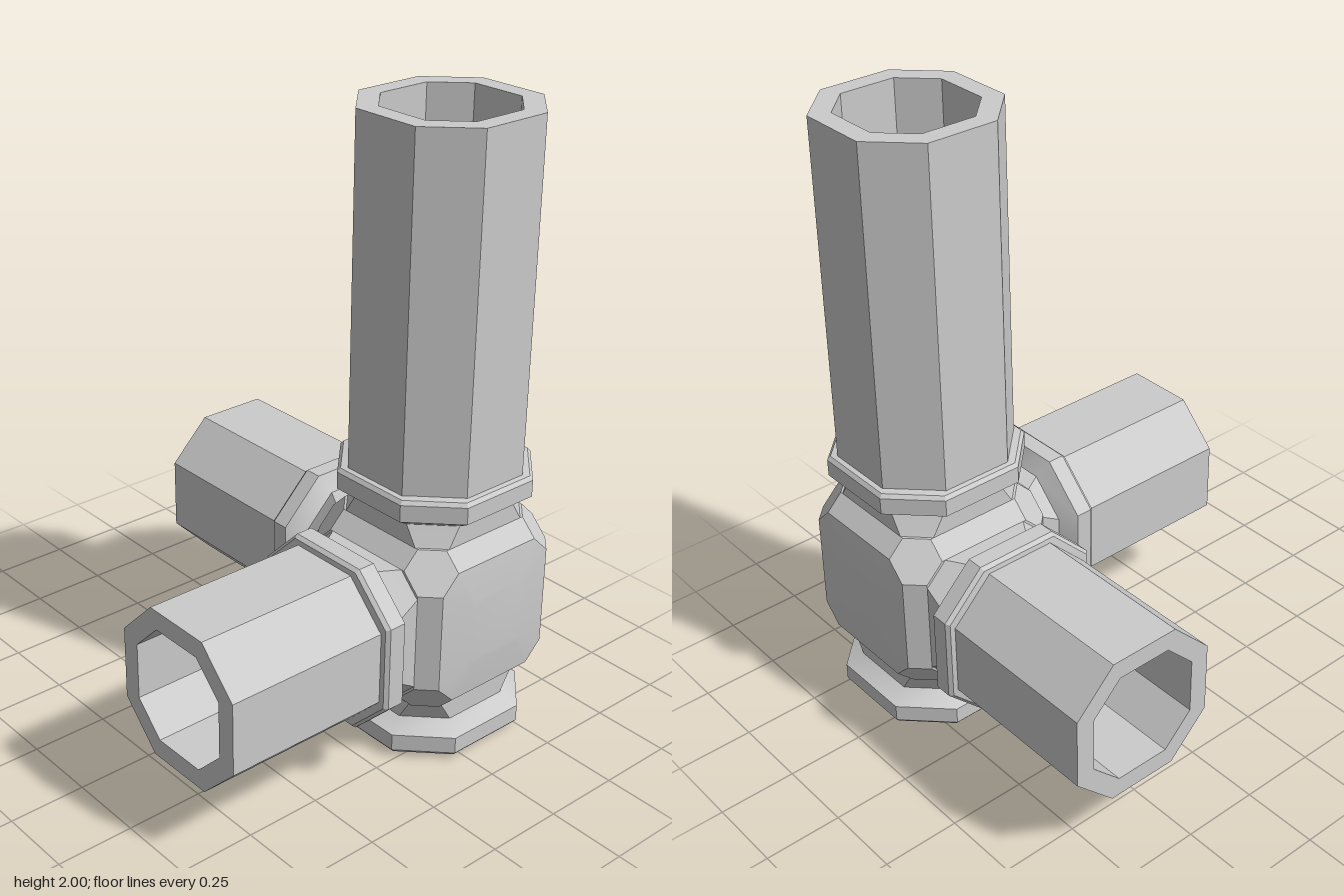
import * as THREE from 'three';
import { toCreasedNormals } from 'three/addons/utils/BufferGeometryUtils.js';
import { ConvexGeometry } from 'three/addons/geometries/ConvexGeometry.js';

const material = new THREE.MeshStandardMaterial({ color: 0xcccccc });

// Square of half-width h with its corners cut by c, counter-clockwise
function octagon(h, c) {
  const k = h - c;
  return [[h, -k], [h, k], [k, h], [-k, h], [-h, k], [-h, -k], [-k, -h], [k, -h]]
    .map(([x, y]) => new THREE.Vector2(x, y));
}

// Skin through octagons given as [distance, half-width, cut], closed at the far end
function loft(sections) {
  const pos = [], index = [];
  for (const [d, h, c] of sections) for (const p of octagon(h, c)) pos.push(p.x, p.y, d);
  for (let s = 0; s < sections.length - 1; s++) {
    for (let i = 0; i < 8; i++) {
      const j = (i + 1) % 8, a = s * 8, b = a + 8;
      index.push(a + i, a + j, b + j, a + i, b + j, b + i);
    }
  }
  const e = (sections.length - 1) * 8;
  for (let i = 1; i < 7; i++) index.push(e, e + i, e + i + 1);
  const g = new THREE.BufferGeometry();
  g.setAttribute('position', new THREE.Float32BufferAttribute(pos, 3));
  g.setIndex(index);
  return toCreasedNormals(g, 0.55);
}

function addMesh(parent, geometry, name) {
  const mesh = new THREE.Mesh(geometry, material);
  mesh.name = name;
  parent.add(mesh);
}

// Chamfered cube with a shallow bulge on each of its six faces
function coreGeometry() {
  const points = [];
  for (let axis = 0; axis < 3; axis++) {
    for (const side of [-1, 1]) {
      const put = (d, u, v) => {
        const p = [0, 0, 0];
        p[axis] = side * d;
        p[(axis + 1) % 3] = u;
        p[(axis + 2) % 3] = v;
        points.push(new THREE.Vector3(...p));
      };
      for (const p of octagon(0.222, 0.06)) put(0.275, p.x, p.y);
      for (const p of octagon(0.11, 0.015)) put(0.29, p.x, p.y);
    }
  }
  return toCreasedNormals(new ConvexGeometry(points), 0.55);
}

// Neck, flared collar and domed plug of one socket, running along +z
const socketGeometry = () => loft([
  [0.26, 0.222, 0.06],
  [0.29, 0.222, 0.08],
  [0.34, 0.222, 0.11],
  [0.375, 0.275, 0.138],
  [0.43, 0.275, 0.138],
  [0.442, 0.265, 0.132],
  [0.45, 0.222, 0.11],
  [0.455, 0.11, 0.03],
]);

// Hollow eight-sided pipe from the collar out to the given distance
function pipeGeometry(end) {
  const start = 0.435;
  const shape = new THREE.Shape(octagon(0.25, 0.133));
  shape.holes.push(new THREE.Path(octagon(0.188, 0.097).reverse()));
  const g = new THREE.ExtrudeGeometry(shape, { depth: end - start, bevelEnabled: false });
  return g.translate(0, 0, start);
}

export function createModel() {
  const model = new THREE.Group();
  model.name = 'pipeJoint';

  const joint = new THREE.Group();
  joint.name = 'joint';
  joint.position.set(0.35, 0.455, -0.35);
  model.add(joint);
  addMesh(joint, coreGeometry(), 'core');

  // Each arm: name, rotation about x, rotation about y, pipe end (0 = plugged socket)
  const arms = [
    ['upperArm', -Math.PI / 2, 0, 1.545],
    ['lowerSocket', Math.PI / 2, 0, 0],
    ['sideArm', 0, -Math.PI / 2, 0.99],
    ['frontArm', 0, 0, 0.99],
  ];
  for (const [name, rx, ry, end] of arms) {
    const arm = new THREE.Group();
    arm.name = name;
    arm.rotation.set(rx, ry, 0);
    addMesh(arm, socketGeometry(), 'collar');
    if (end) addMesh(arm, pipeGeometry(end), 'pipe');
    joint.add(arm);
  }
  return model;
}
